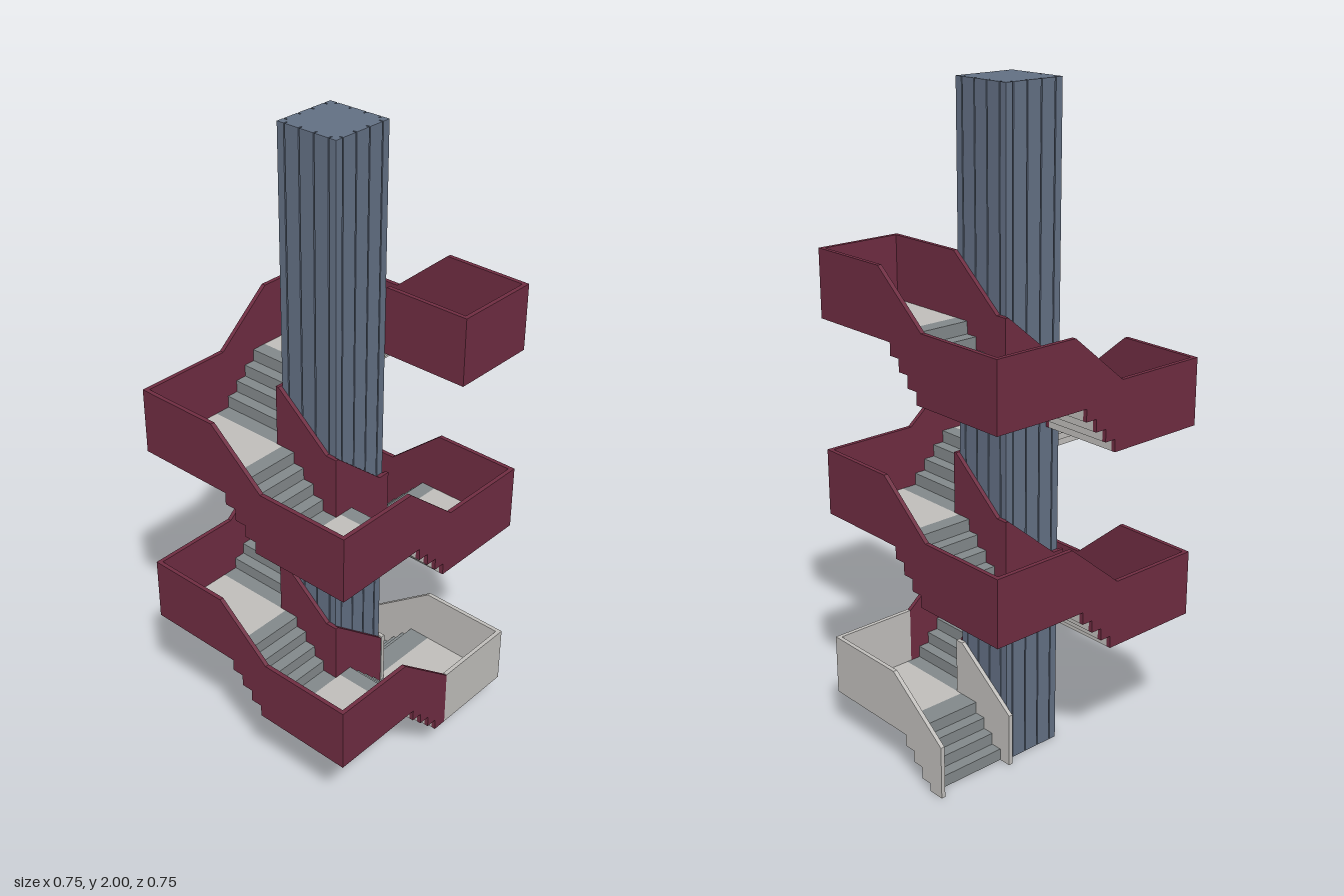
import * as THREE from 'three';

const material = (name, color) => {
  const m = new THREE.MeshStandardMaterial({ color });
  m.name = name;
  return m;
};

export function createModel() {
  const burgundy = material('burgundy', 0x6e2c41);
  const concrete = material('pale concrete', 0xbfbdba);
  const treadGrey = material('tread grey', 0x82888a);
  const slate = material('slate blue', 0x626f83);

  const RISE = 0.149, STEP = RISE / 4, SLAB = 0.012, SKIN = 0.004;
  const CORE = 0.1, WALL = 0.013, OUT = 0.373, RAIL = 0.19, FLIGHTS = 9;
  const IN = CORE + WALL, EDGE = OUT - WALL;
  const model = new THREE.Group();
  model.name = 'spiralStaircase';

  const add = (parent, name, geometry, mat) => {
    const mesh = new THREE.Mesh(geometry, mat);
    mesh.name = name;
    parent.add(mesh);
    return mesh;
  };

  const box = (parent, name, mat, x0, x1, y0, y1, z0, z1) => {
    const g = new THREE.BoxGeometry(x1 - x0, y1 - y0, z1 - z0);
    g.translate((x0 + x1) / 2, (y0 + y1) / 2, (z0 + z1) / 2);
    return add(parent, name, g, mat);
  };

  // Side profile of [z, y] points, extruded between x0 and x1
  const slice = (points, x0, x1) => {
    const shape = new THREE.Shape(points.map(([z, y]) => new THREE.Vector2(z, y)));
    const g = new THREE.ExtrudeGeometry(shape, { depth: x1 - x0, bevelEnabled: false });
    return g.rotateY(-Math.PI / 2).translate(x1, 0, 0);
  };

  // Stepped line lying d below the walking surface
  const stepLine = (first, d, start, end) => {
    const r0 = first ? -0.087 : -0.063;
    const pts = first ? [] : [[start, -d]];
    for (let i = 0; i < 4; i++) {
      const z = r0 + i * 0.0367 + d;
      pts.push([z, Math.max(first ? 0 : -1, i * STEP - d)], [z, (i + 1) * STEP - d]);
    }
    pts.push([end, RISE - d]);
    return pts;
  };

  // Solid balustrade: stepped bottom, sloping top
  const balustrade = (n, start, end) => {
    const bottom = stepLine(n === 1, SLAB, start, end);
    if (n === 1) {
      return [[start, 0], ...bottom, [end, 0.325], [0.087, 0.325], [start, 0.167]];
    }
    const top = [[end, RISE + RAIL], [0.103, RISE + RAIL]];
    if (n === 2) top.push([start, 0.174]);
    else top.push([-0.075, RAIL], [start, RAIL]);
    return [...bottom, ...top];
  };

  // Square core with four narrow grooves on each face
  const outline = [];
  for (let side = 0; side < 4; side++) {
    const a = side * Math.PI / 2, c = Math.cos(a), s = Math.sin(a);
    const put = (x, y) => outline.push(new THREE.Vector2(x * c - y * s, x * s + y * c));
    put(-CORE, -CORE);
    for (const x of [-0.075, -0.025, 0.025, 0.075]) {
      put(x - 0.002, -CORE);
      put(x - 0.002, -CORE + 0.012);
      put(x + 0.002, -CORE + 0.012);
      put(x + 0.002, -CORE);
    }
  }
  const core = new THREE.ExtrudeGeometry(new THREE.Shape(outline), { depth: 2, bevelEnabled: false });
  add(model, 'core', core.rotateX(-Math.PI / 2), slate);

  // Each flight climbs one side of the core and ends in a corner landing
  for (let n = 1; n <= FLIGHTS; n++) {
    const first = n === 1;
    const flight = new THREE.Group();
    flight.name = 'flight' + n;
    flight.rotation.y = -(n - 1) * Math.PI / 2;
    flight.position.y = (n - 1) * RISE;
    model.add(flight);

    const line = d => stepLine(first, d, -IN, 0.094);
    const band = (a, b) => slice([...line(b), ...line(a).reverse()], IN, EDGE);
    add(flight, 'treads', band(0, SKIN), treadGrey);
    add(flight, 'stairUnderside', band(SKIN, SLAB), concrete);
    box(flight, 'landing', concrete, IN, EDGE, RISE - SLAB, RISE, 0.094, EDGE);

    const paint = first ? concrete : burgundy;
    const lowEnd = first ? -0.127 : -0.097;
    const outerStart = n < 3 ? lowEnd : -EDGE;
    const innerStart = n < 3 ? lowEnd : -CORE;
    add(flight, 'outerBalustrade', slice(balustrade(n, outerStart, OUT), EDGE, OUT), paint);
    add(flight, 'innerBalustrade', slice(balustrade(n, innerStart, IN), CORE, IN), paint);

    // Landing walls where no matching flight carries on
    const base = RISE - SLAB;
    if (first) {
      box(flight, 'landingWall', paint, 0.097, EDGE, base, 0.325, EDGE, OUT);
    }
    if (n === FLIGHTS) {
      box(flight, 'landingWall', paint, CORE, EDGE, base, RISE + RAIL, EDGE, OUT);
      box(flight, 'endWall', paint, CORE, IN, base, RISE + RAIL, IN, EDGE);
    }
  }
  return model;
}
